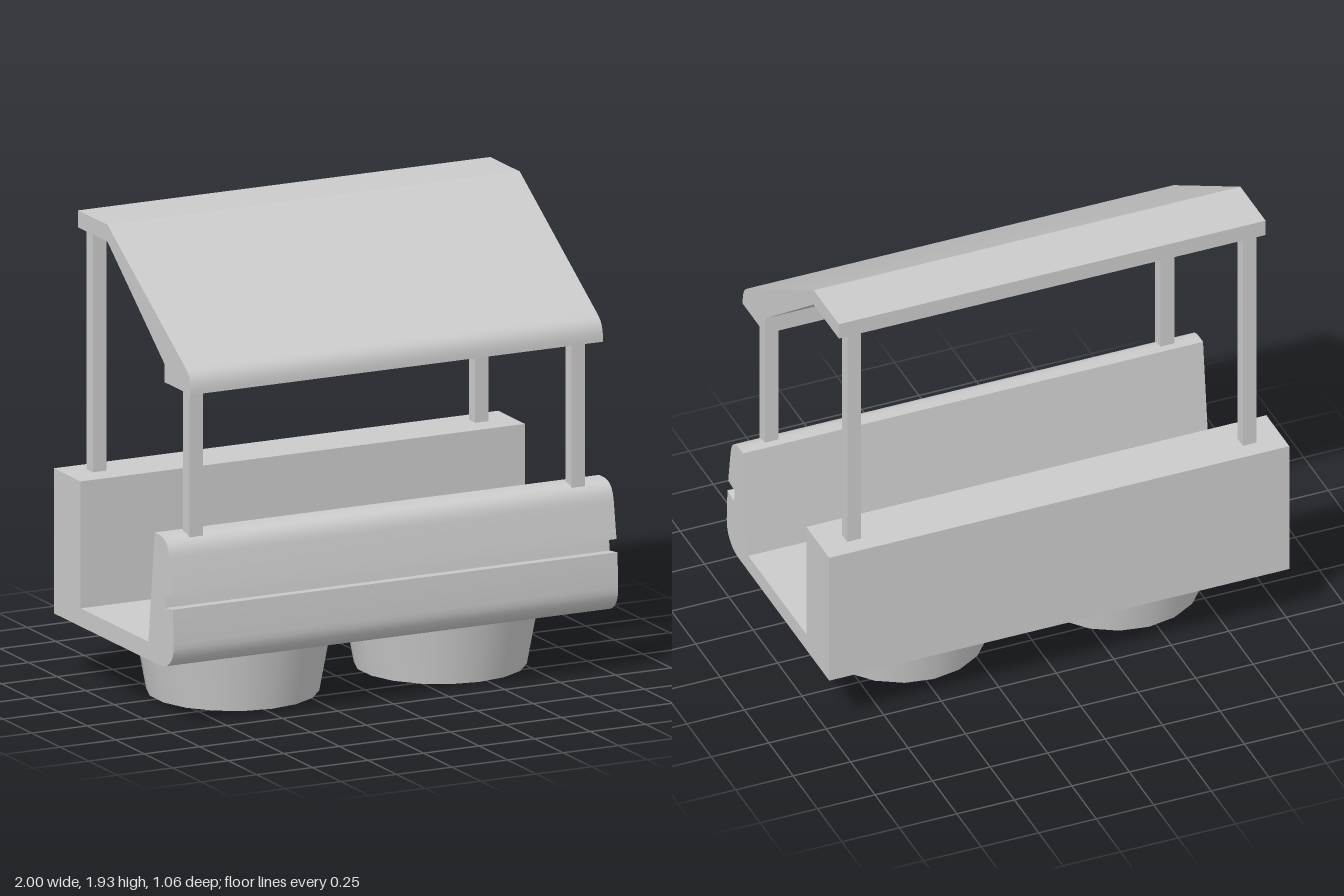
import * as THREE from 'three';
import { toCreasedNormals } from 'three/addons/utils/BufferGeometryUtils.js';

const material = new THREE.MeshStandardMaterial({ color: 0xcccccc });

function addMesh(group, name, geometry) {
  const mesh = new THREE.Mesh(geometry, material);
  mesh.name = name;
  group.add(mesh);
  return mesh;
}

// Extrudes a side profile drawn in (z, y) across the width, centred on x = 0
function sweepAcross(shape, width) {
  const geometry = new THREE.ExtrudeGeometry(shape, { depth: width, bevelEnabled: false, curveSegments: 8 });
  geometry.translate(0, 0, -width / 2).rotateY(-Math.PI / 2);
  return toCreasedNormals(geometry, 0.5);
}

export function createModel() {
  const group = new THREE.Group();

  // Tub: rear bench box, floor and rounded, grooved front panel
  const tub = new THREE.Shape();
  tub.moveTo(-0.53, 0.255);
  tub.lineTo(0.41, 0.255);
  tub.bezierCurveTo(0.48, 0.26, 0.525, 0.3, 0.522, 0.37);
  tub.lineTo(0.515, 0.512);
  tub.lineTo(0.447, 0.503);
  tub.lineTo(0.44, 0.557);
  tub.lineTo(0.507, 0.565);
  tub.lineTo(0.483, 0.715);
  tub.bezierCurveTo(0.474, 0.765, 0.45, 0.795, 0.395, 0.795);
  tub.lineTo(0.355, 0.795);
  tub.lineTo(0.3, 0.33);
  tub.lineTo(-0.295, 0.33);
  tub.lineTo(-0.295, 0.855);
  tub.lineTo(-0.53, 0.855);
  tub.closePath();
  addMesh(group, 'tub', sweepAcross(tub, 2));

  // Roof: flat rear strip, sloping panel and rounded front lip
  const roof = new THREE.Shape();
  roof.moveTo(0.3, 1.395);
  roof.lineTo(0.53, 1.395);
  roof.bezierCurveTo(0.53, 1.44, 0.522, 1.47, 0.487, 1.495);
  roof.lineTo(-0.2, 1.93);
  roof.lineTo(-0.458, 1.93);
  roof.lineTo(-0.458, 1.86);
  roof.lineTo(-0.2, 1.86);
  roof.lineTo(0.3, 1.47);
  roof.closePath();
  addMesh(group, 'roof', sweepAcross(roof, 1.855));

  for (const [side, sign] of [['left', 1], ['right', -1]]) {
    // Posts carrying the roof
    for (const [end, z, bottom, top] of [['Front', 0.418, 0.78, 1.4], ['Rear', -0.428, 0.85, 1.865]]) {
      const post = addMesh(group, `${side}${end}Post`, new THREE.BoxGeometry(0.06, top - bottom, 0.055));
      post.position.set(sign * 0.86, (top + bottom) / 2, z);
    }

    // Tapered round base
    const base = addMesh(group, `${side}Base`, new THREE.CylinderGeometry(0.394, 0.347, 0.255, 18));
    base.position.set(sign * 0.467, 0.1275, 0);
  }

  return group;
}
